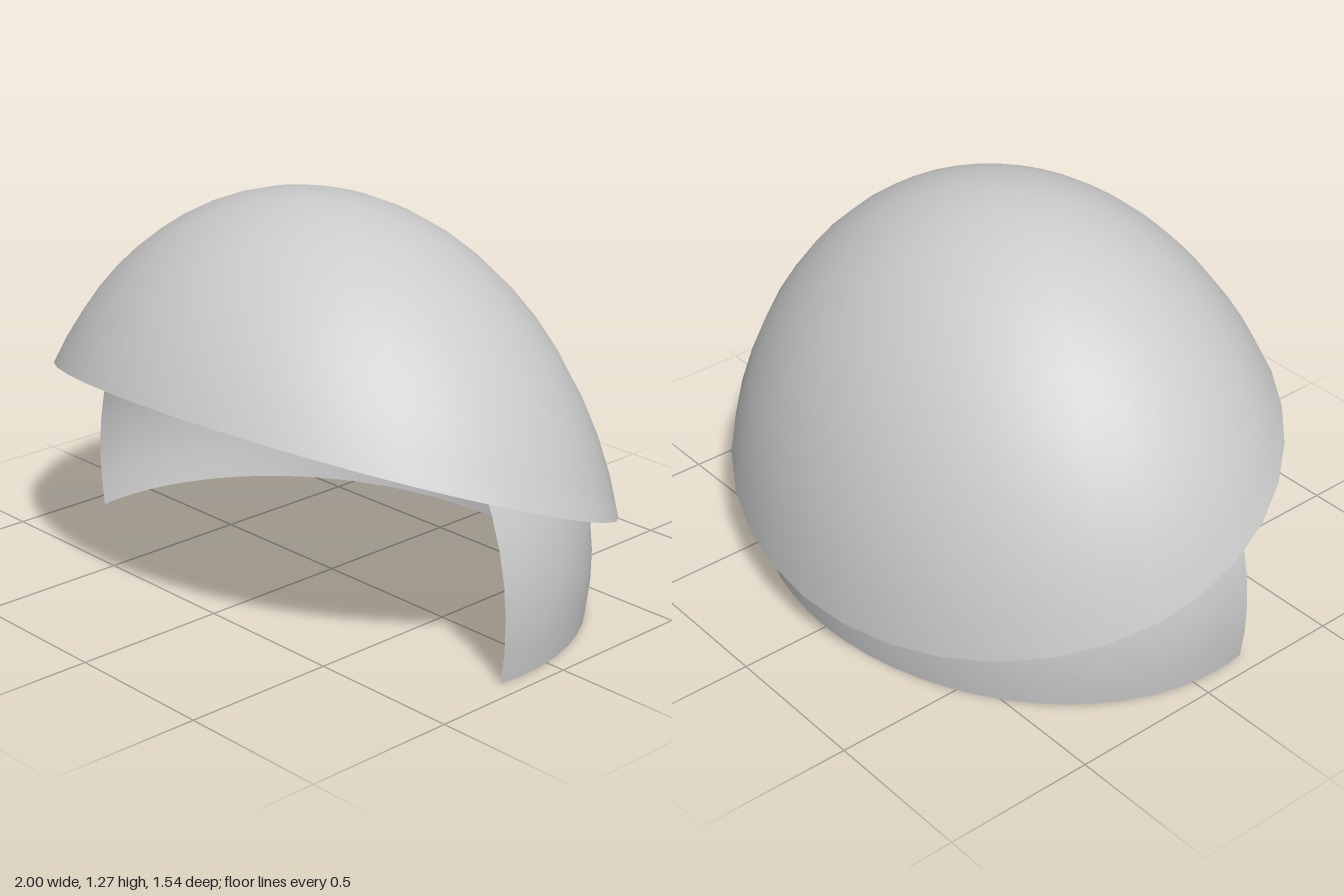
import * as THREE from 'three';
import { toCreasedNormals } from 'three/addons/utils/BufferGeometryUtils.js';

// Surface over a grid; fn(u, v) gives a point, u runs downward, v runs from +x towards +z
function surface(rows, cols, fn) {
  const points = [], index = [];
  for (let i = 0; i <= rows; i++)
    for (let j = 0; j <= cols; j++) points.push(...fn(i / rows, j / cols));
  for (let i = 0; i < rows; i++)
    for (let j = 0; j < cols; j++) {
      const a = i * (cols + 1) + j, b = a + cols + 1;
      index.push(a, a + 1, b, a + 1, b + 1, b);
    }
  const geometry = new THREE.BufferGeometry();
  geometry.setAttribute('position', new THREE.Float32BufferAttribute(points, 3));
  geometry.setIndex(index);
  return toCreasedNormals(geometry, 0.7);
}

// Dome: ellipsoid cut by a plane that rises to the front and leans a little sideways
const dome = { x: 1.078, y: 1.25, z: 0.857, cy: 0.02, cz: 0.08 };
const cut = { y: 0.457, slopeZ: 0.39, slopeX: 0.022 };

function domePoint(t, v, scale) {
  const phi = (v % 1) * Math.PI * 2;
  const b = cut.slopeZ * dome.z * Math.sin(phi) + cut.slopeX * dome.x * Math.cos(phi);
  const c = (cut.y - dome.cy + cut.slopeZ * dome.cz) / scale;
  // angle from the pole at which this meridian meets the cutting plane
  const rim = Math.acos(c / Math.hypot(dome.y, b)) - Math.atan2(b, dome.y);
  const theta = rim * t, r = Math.sin(theta) * scale;
  return [
    dome.x * r * Math.cos(phi),
    dome.cy + dome.y * Math.cos(theta) * scale,
    dome.cz + dome.z * r * Math.sin(phi),
  ];
}

// Inner band: half-shell open at the front, cut flat at z = front and y = 0
const band = { x: 0.957, y: 0.95, z: 0.81, cy: 0.17, cz: 0.1 };
const front = 0.2;

function bandPoint(u, v) {
  const low = -Math.asin(band.cy / band.y);
  const e = Math.PI / 2 + (low - Math.PI / 2) * u;
  const s = Math.max(Math.cos(e), 1e-5);
  const edge = Math.asin(Math.min(1, (front - band.cz) / (band.z * s)));
  // sweep from the right front edge round the back to the left front edge
  const phi = Math.PI - edge + (Math.PI + 2 * edge) * v;
  return [
    band.x * s * Math.cos(phi),
    band.cy + band.y * Math.sin(e),
    band.cz + band.z * s * Math.sin(phi),
  ];
}

export function createModel() {
  const group = new THREE.Group();
  const add = (name, geometry) => {
    const material = new THREE.MeshStandardMaterial({ color: 0xcccccc, side: THREE.DoubleSide });
    const mesh = new THREE.Mesh(geometry, material);
    mesh.name = name;
    group.add(mesh);
  };

  // Shell runs down the outside, across the lip, and back up the inside
  const rows = 12, last = rows * 2 + 1, thin = 0.98;
  add('domeShell', surface(last, 36, (u, v) => {
    const k = Math.round(u * last);
    return k <= rows ? domePoint(k / rows, v, 1) : domePoint((last - k) / rows, v, thin);
  }));

  add('innerBand', surface(16, 32, bandPoint));
  return group;
}
